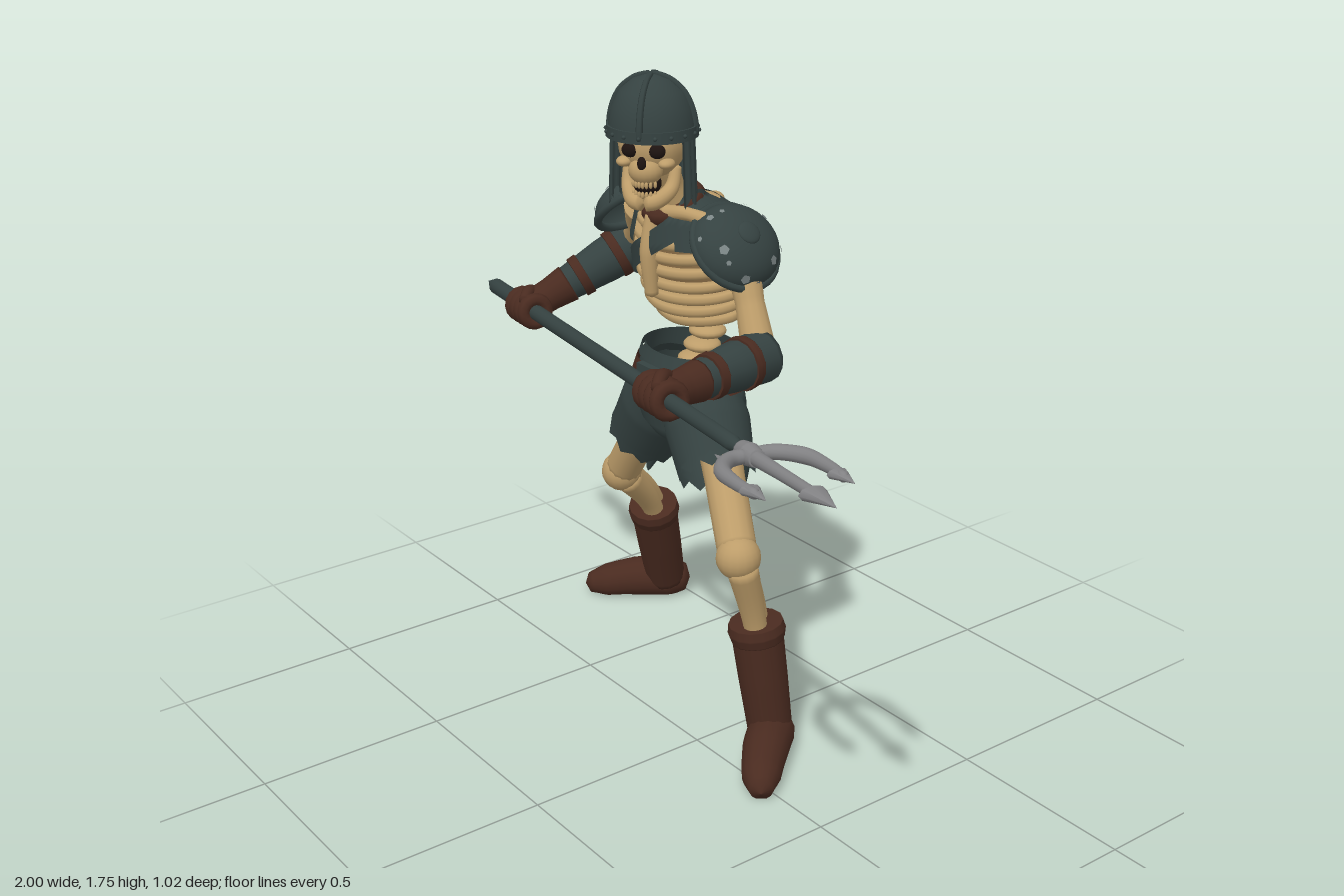
import * as THREE from 'three';
import { mergeVertices } from 'three/addons/utils/BufferGeometryUtils.js';
import { ParametricGeometry } from 'three/addons/geometries/ParametricGeometry.js';

const mat = (name, color, side = THREE.FrontSide) => new THREE.MeshStandardMaterial({ name, color, side });
const V = (a) => new THREE.Vector3(...a);
const lerpList = (list, t) => {
  const f = Math.min(Math.max(t, 0), 1) * (list.length - 1), i = Math.min(Math.floor(f), list.length - 2);
  return list[i] + (list[i + 1] - list[i]) * (f - i);
};

export function createModel() {
  const M = {
    bone: mat('bone', 0xbd9d6a), shade: mat('deepBone', 0x8c6f48),
    slate: mat('slateCloth', 0x354241, THREE.DoubleSide), brown: mat('brownLeather', 0x4a2b20, THREE.DoubleSide),
    steel: mat('steel', 0x828284), dark: mat('darkHollow', 0x1e1411), worn: mat('wornMetal', 0x7b8585)
  };
  const model = new THREE.Group();
  const add = (name, geo, material, parent = model) => {
    const m = new THREE.Mesh(geo, material);
    m.name = name;
    parent.add(m);
    return m;
  };
  const group = (name, pos, parent = model) => {
    const g = new THREE.Group();
    g.name = name;
    g.position.set(...pos);
    parent.add(g);
    return g;
  };
  const ball = (name, pos, scale, material, parent = model) => {
    const m = add(name, new THREE.SphereGeometry(1, 18, 12), material, parent);
    m.position.set(...pos);
    m.scale.set(...scale);
    return m;
  };
  // Tube of varying radius along a smooth path; capped unless a ragged hem is asked for
  const limb = (name, pts, radii, material, { parent = model, sides = 14, n = 24, hem = 0, ground = false } = {}) => {
    const curve = new THREE.CatmullRomCurve3(pts.map(V));
    let geo = new THREE.TubeGeometry(curve, n, 1, sides);
    const p = geo.attributes.position, v = new THREE.Vector3();
    for (let i = 0; i <= n; i++) {
      const u = i / n, c = curve.getPointAt(u), tan = curve.getTangentAt(u);
      let r = lerpList(radii, curve.getUtoTmapping(u));
      if (!hem && (i === 0 || i === n)) r = 0.0005;
      for (let j = 0; j <= sides; j++) {
        const k = i * (sides + 1) + j;
        v.fromBufferAttribute(p, k).sub(c).multiplyScalar(r).add(c);
        if (hem && i === n) v.addScaledVector(tan, j % 2 ? hem : 0);
        if (ground) v.y = Math.max(v.y, 0.005);
        p.setXYZ(k, v.x, v.y, v.z);
      }
    }
    geo.deleteAttribute('uv');
    geo.deleteAttribute('normal');
    geo = mergeVertices(geo, 1e-5);
    geo.computeVertexNormals();
    return add(name, geo, material, parent);
  };
  // Elliptical cross-sections, bottom to top: [y, centre x, centre z, radius x, radius z]
  const section = (secs, y) => {
    let i = 0;
    while (i < secs.length - 2 && y > secs[i + 1][0]) i++;
    const t = Math.min(Math.max((y - secs[i][0]) / (secs[i + 1][0] - secs[i][0]), 0), 1);
    return secs[i].map((s, k) => s + (secs[i + 1][k] - s) * t);
  };
  const onBody = (secs, a, y, out, target) => {
    const [, cx, cz, rx, rz] = section(secs, y);
    return target.set(cx + (rx + out) * Math.cos(a), y, cz + (rz + out) * Math.sin(a));
  };
  const band = (name, secs, a0, a1, yAt, half, out, material) => add(name, new ParametricGeometry((u, v, t) => {
    const a = a0 + (a1 - a0) * v;
    onBody(secs, a, yAt(a) + (u * 2 - 1) * half, out, t);
  }, 8, 48), material);
  const TAU = Math.PI * 2;

  // Rib cage
  const chest = [[1.08, -0.22, -0.18, 0.06, 0.06], [1.13, -0.215, -0.165, 0.14, 0.105], [1.22, -0.2, -0.15, 0.165, 0.125],
    [1.32, -0.2, -0.135, 0.155, 0.125], [1.39, -0.2, -0.12, 0.125, 0.1], [1.44, -0.2, -0.1, 0.05, 0.05]];
  band('ribCageCore', chest, 0, TAU, () => 1.26, 0.18, -0.014, M.shade);
  for (let i = 0; i < 8; i++) {
    const pts = [], y0 = 1.13 + i * 0.036;
    for (let k = 0; k < 28; k++) {
      const a = k / 28 * TAU;
      pts.push(onBody(chest, a, y0 - 0.022 * Math.sin(a), -0.004, new THREE.Vector3()));
    }
    add('rib', new THREE.TubeGeometry(new THREE.CatmullRomCurve3(pts, true), 56, 0.0145, 7, true), M.bone);
  }
  limb('breastbone', [[-0.2, 1.4, -0.02], [-0.2, 1.3, -0.005], [-0.2, 1.18, -0.012]], [0.02, 0.024, 0.016], M.bone);
  for (let i = 0; i < 13; i++) {
    const t = i / 12;
    ball('vertebra', [-0.265 + 0.06 * t, 0.96 + 0.44 * t, -0.2 - 0.06 * Math.sin(t * 3)],
      i < 5 ? [0.052, 0.02, 0.048] : [0.026, 0.018, 0.028], M.bone);
  }
  for (const s of [-1, 1]) {
    ball('shoulderBlade', [-0.2 + s * 0.1, 1.31, -0.245], [0.05, 0.075, 0.018], M.bone).rotation.set(0.15, s * -0.45, s * 0.25);
    limb('collarBone', [[-0.2 + s * 0.02, 1.4, -0.03], [-0.2 + s * 0.11, 1.41, -0.05], [-0.2 + s * 0.21, 1.37, -0.12]],
      [0.02, 0.016, 0.022], M.bone);
  }

  // Shoulder cloth, sash and collar
  band('chestSash', chest, 0, TAU, (a) => 1.315 + 0.11 * Math.cos(a), 0.032, 0.02, M.slate);
  band('backYoke', chest, Math.PI, TAU, () => 1.38, 0.042, 0.022, M.slate);
  band('rightShoulderCloth', chest, Math.PI * 0.62, Math.PI, () => 1.36, 0.05, 0.018, M.slate);
  band('leftShoulderCloth', chest, 0, Math.PI * 0.32, () => 1.37, 0.05, 0.018, M.slate);
  limb('neck', [[-0.2, 1.38, -0.1], [-0.195, 1.46, -0.06], [-0.175, 1.55, -0.01]], [0.05, 0.04, 0.045], M.bone);
  const collar = add('collar', new THREE.TorusGeometry(0.062, 0.022, 8, 24), M.brown);
  collar.position.set(-0.195, 1.415, -0.075);
  collar.rotation.x = Math.PI / 2 + 0.45;

  // Skull, turned towards the left
  const head = group('head', [-0.175, 1.56, 0]);
  head.rotation.y = 0.65;
  ball('cranium', [0, 0.02, 0], [0.083, 0.085, 0.085], M.bone, head);
  ball('upperJaw', [0, -0.035, 0.058], [0.042, 0.035, 0.038], M.bone, head);
  ball('mouthHollow', [0, -0.07, 0.045], [0.034, 0.03, 0.035], M.dark, head);
  ball('noseHollow', [0, -0.012, 0.09], [0.011, 0.017, 0.008], M.dark, head);
  for (const s of [-1, 1]) {
    ball('eyeSocket', [s * 0.033, 0.016, 0.074], [0.021, 0.018, 0.014], M.dark, head);
    ball('cheekBone', [s * 0.052, -0.016, 0.058], [0.02, 0.013, 0.026], M.bone, head);
    limb('jawBone', [[s * 0.06, -0.03, 0.0], [s * 0.053, -0.085, 0.025], [s * 0.025, -0.108, 0.07], [0, -0.11, 0.08]],
      [0.013, 0.018, 0.02, 0.02], M.bone, { parent: head });
  }
  for (let i = -3; i <= 3; i++) for (const y of [-0.066, -0.09])
    ball('tooth', [i * 0.009, y, 0.084 - i * i * 0.0016], [0.0045, 0.009, 0.005], M.bone, head);

  // Helmet with rim, ridges, rivets and neck curtain
  const dome = [[0.106, 0.04], [0.106, 0.07], [0.097, 0.11], [0.077, 0.147], [0.045, 0.173], [0.015, 0.183], [0.0005, 0.186]];
  add('helmetDome', new THREE.LatheGeometry(dome.map((p) => new THREE.Vector2(...p)), 32), M.slate, head);
  const rim = add('helmetRim', new THREE.CylinderGeometry(0.111, 0.112, 0.028, 32, 1), M.slate, head);
  rim.position.y = 0.052;
  for (let i = 0; i < 4; i++) {
    const a = i * Math.PI / 2;
    limb('helmetRidge', dome.map(([r, y]) => [r * Math.sin(a), y, r * Math.cos(a)]), [0.009, 0.008, 0.007], M.slate,
      { parent: head, sides: 6 });
  }
  for (let i = 0; i < 18; i++) {
    const a = i / 18 * TAU;
    ball('helmetRivet', [0.112 * Math.sin(a), 0.052, 0.112 * Math.cos(a)], [0.005, 0.005, 0.005], M.slate, head);
  }
  add('neckCurtain', new ParametricGeometry((u, v, t) => {
    const a = Math.PI + (v - 0.5) * 4.2, r = 0.098 + 0.006 * u + 0.004 * Math.cos(v * 90);
    t.set(r * Math.sin(a), 0.05 - u * (0.165 + 0.014 * Math.sin(v * 60)), r * Math.cos(a));
  }, 6, 72), M.slate, head);

  // Domed shoulder guards with rim, rivets and worn chips
  const guard = (name, pos, normal) => {
    const g = group(name, pos);
    g.quaternion.setFromUnitVectors(new THREE.Vector3(0, 1, 0), V(normal).normalize());
    const shell = add('guardDome', new THREE.SphereGeometry(1, 28, 10, 0, TAU, 0, Math.PI / 2), M.slate, g);
    shell.scale.set(0.112, 0.075, 0.118);
    const edge = add('guardRim', new THREE.TorusGeometry(0.113, 0.011, 8, 32), M.slate, g);
    edge.rotation.x = Math.PI / 2;
    ball('guardBoss', [0, 0.072, 0], [0.03, 0.01, 0.03], M.slate, g);
    for (let i = 0; i < 13; i++) {
      const a = i * 2.4, e = 0.25 + (i * 0.37 % 0.7);
      const chip = add('wornChip', new THREE.CircleGeometry(0.007 + (i % 3) * 0.003, 5), M.worn, g);
      const n = new THREE.Vector3(Math.cos(a) * Math.cos(e), Math.sin(e), Math.sin(a) * Math.cos(e));
      chip.position.set(n.x * 0.115, n.y * 0.078, n.z * 0.121);
      chip.quaternion.setFromUnitVectors(new THREE.Vector3(0, 0, 1), new THREE.Vector3(n.x, n.y * 1.5, n.z).normalize());
    }
  };
  guard('rightShoulderGuard', [-0.42, 1.345, -0.13], [-0.65, 0.75, 0]);
  guard('leftShoulderGuard', [-0.012, 1.335, -0.125], [0.74, 0.67, 0]);

  // Belt, breeches and legs
  const hips = [[0.73, -0.26, -0.17, 0.03, 0.03], [0.775, -0.26, -0.17, 0.14, 0.1], [0.87, -0.265, -0.175, 0.19, 0.125],
    [0.94, -0.27, -0.18, 0.155, 0.117], [1.0, -0.27, -0.185, 0.135, 0.105]];
  band('breechesHips', hips, 0, TAU, () => 0.865, 0.135, 0, M.slate);
  band('waistband', hips, 0, TAU, () => 0.985, 0.014, 0.01, M.slate);
  band('belt', hips, 0, TAU, () => 0.938, 0.025, 0.012, M.brown);
  add('beltBuckle', new THREE.BoxGeometry(0.075, 0.065, 0.02), M.slate).position.set(-0.27, 0.938, -0.048);
  limb('rightBreechesLeg', [[-0.32, 0.9, -0.18], [-0.4, 0.8, -0.19], [-0.485, 0.69, -0.2]], [0.1, 0.115, 0.105], M.slate, { hem: 0.025, sides: 20 });
  limb('leftBreechesLeg', [[-0.22, 0.9, -0.17], [-0.145, 0.82, -0.145], [-0.07, 0.735, -0.115]], [0.1, 0.112, 0.1], M.slate, { hem: 0.025, sides: 20 });
  limb('rightTatter', [[-0.5, 0.72, -0.24], [-0.5, 0.63, -0.235], [-0.515, 0.545, -0.22]], [0.05, 0.035, 0.003], M.slate);
  limb('leftTatter', [[-0.085, 0.76, -0.18], [-0.07, 0.7, -0.185], [-0.055, 0.635, -0.185]], [0.05, 0.03, 0.003], M.slate);
  limb('innerTatter', [[-0.41, 0.72, -0.25], [-0.43, 0.66, -0.25], [-0.45, 0.6, -0.24]], [0.04, 0.025, 0.003], M.slate);

  const leg = (side, hip, knee, top, ankle, foot) => {
    limb(side + 'ThighBone', [hip, [0, 1, 2].map((i) => (hip[i] + knee[i]) / 2), knee], [0.06, 0.052, 0.05], M.bone);
    ball(side + 'Knee', knee, [0.057, 0.057, 0.057], M.bone);
    for (const s of [-1, 1]) limb(side + 'ShinBone', [knee, top, ankle].map((p, i) => [p[0] + s * 0.018, p[1], p[2] + s * (i ? 0.016 : 0.008)]),
      [0.042, 0.03, 0.03], M.bone);
    limb(side + 'BootShaft', [top, [0, 1, 2].map((i) => (top[i] + ankle[i]) / 2), ankle], [0.068, 0.064, 0.058], M.brown);
    limb(side + 'BootCuff', [0, 0.08, 0.16].map((t) => top.map((c, i) => c + (ankle[i] - c) * t)), [0.07, 0.075, 0.069], M.brown);
    limb(side + 'BootFoot', foot, [0.035, 0.062, 0.06, 0.05, 0.025], M.brown, { ground: true });
  };
  leg('right', [-0.36, 0.87, -0.18], [-0.615, 0.515, -0.2], [-0.66, 0.36, -0.34], [-0.735, 0.05, -0.44],
    [[-0.7, 0.05, -0.505], [-0.735, 0.055, -0.45], [-0.79, 0.055, -0.375], [-0.85, 0.04, -0.3], [-0.89, 0.03, -0.25]]);
  leg('left', [-0.16, 0.87, -0.17], [0.13, 0.585, -0.03], [0.115, 0.38, -0.1], [0.14, 0.05, -0.135],
    [[0.1, 0.05, -0.185], [0.14, 0.055, -0.14], [0.205, 0.055, -0.065], [0.28, 0.04, 0.01], [0.33, 0.03, 0.05]]);

  // Trident: shaft, socket, three barbed prongs
  const butt = V([-1, 1.015, -0.02]), socket = V([0.62, 1.13, 0.34]);
  const X = V([1, 1.168, 0.428]).sub(socket).normalize();
  const Z = new THREE.Vector3().crossVectors(X, new THREE.Vector3(0, 1, 0)).normalize();
  const Y = new THREE.Vector3().crossVectors(Z, X);
  limb('shaft', [butt.toArray(), butt.clone().lerp(socket, 0.5).toArray(), socket.toArray()], [0.022, 0.02, 0.018], M.slate);
  const fork = group('tridentHead', socket.toArray());
  fork.quaternion.setFromRotationMatrix(new THREE.Matrix4().makeBasis(X, Y, Z));
  const blade = (name, x, z, len, r, turn = -Math.PI / 2) => {
    const m = add(name, new THREE.ConeGeometry(r, len, 8), M.steel, fork);
    m.position.set(x, 0, z);
    m.rotation.set(Math.PI / 2, 0, turn);
    m.scale.z = 0.5;
  };
  limb('prongSocket', [[-0.03, 0, 0], [0.01, 0, 0], [0.05, 0, 0]], [0.021, 0.026, 0.019], M.steel, { parent: fork });
  limb('middleProng', [[0, 0, 0], [0.15, 0, 0], [0.32, 0, 0]], [0.018, 0.014, 0.012], M.steel, { parent: fork });
  blade('middlePoint', 0.34, 0, 0.1, 0.032);
  for (const s of [-1, 1]) {
    limb('sideProng', [[0.015, 0, 0], [0.02, 0, s * 0.05], [0.075, 0, s * 0.093], [0.16, 0, s * 0.103], [0.25, 0, s * 0.097]],
      [0.016, 0.017, 0.018, 0.014, 0.011], M.steel, { parent: fork });
    blade('sidePoint', 0.247, s * 0.097, 0.075, 0.024);
    blade('rearBarb', 0.0, s * 0.062, 0.06, 0.015, Math.PI / 2);
  }

  // Arms: bone, forearm guard with straps, gloved fist around the shaft
  const arm = (side, shoulder, elbow, grip) => {
    const hand = butt.clone().lerp(socket, grip), e = V(elbow);
    const at = (t) => e.clone().lerp(hand, t).toArray();
    limb(side + 'UpperArm', [shoulder, [0, 1, 2].map((i) => (shoulder[i] + elbow[i]) / 2), elbow], [0.046, 0.036, 0.044], M.bone);
    ball(side + 'Elbow', elbow, [0.046, 0.046, 0.046], M.bone);
    limb(side + 'ForearmGuard', [at(-0.06), at(0.3), at(0.72)], [0.066, 0.06, 0.044], M.slate);
    for (const t of [0.15, 0.48]) limb(side + 'GuardStrap', [at(t), at(t + 0.04), at(t + 0.08)],
      t < 0.3 ? [0.066, 0.067, 0.066] : [0.058, 0.057, 0.056], M.brown);
    limb(side + 'GloveCuff', [at(0.62), at(0.8), at(0.97)], [0.052, 0.044, 0.042], M.brown);
    const fist = group(side + 'Glove', hand.toArray());
    fist.quaternion.setFromRotationMatrix(new THREE.Matrix4().makeBasis(X, Y, Z));
    ball('palm', [0, -0.004, -0.02], [0.066, 0.045, 0.036], M.brown, fist);
    for (let i = 0; i < 4; i++) {
      const f = add('finger', new THREE.TorusGeometry(0.032, 0.018, 8, 16), M.brown, fist);
      f.position.x = -0.051 + i * 0.034;
      f.rotation.y = Math.PI / 2;
    }
    limb('thumb', [[-0.03, 0.03, -0.03], [0.01, 0.045, 0.0], [0.05, 0.03, 0.03]], [0.02, 0.018, 0.014], M.brown, { parent: fist });
  };
  arm('right', [-0.42, 1.35, -0.14], [-0.565, 1.2, -0.23], 0.2);
  arm('left', [0.0, 1.33, -0.13], [0.125, 1.1, -0.095], 0.73);
  return model;
}
